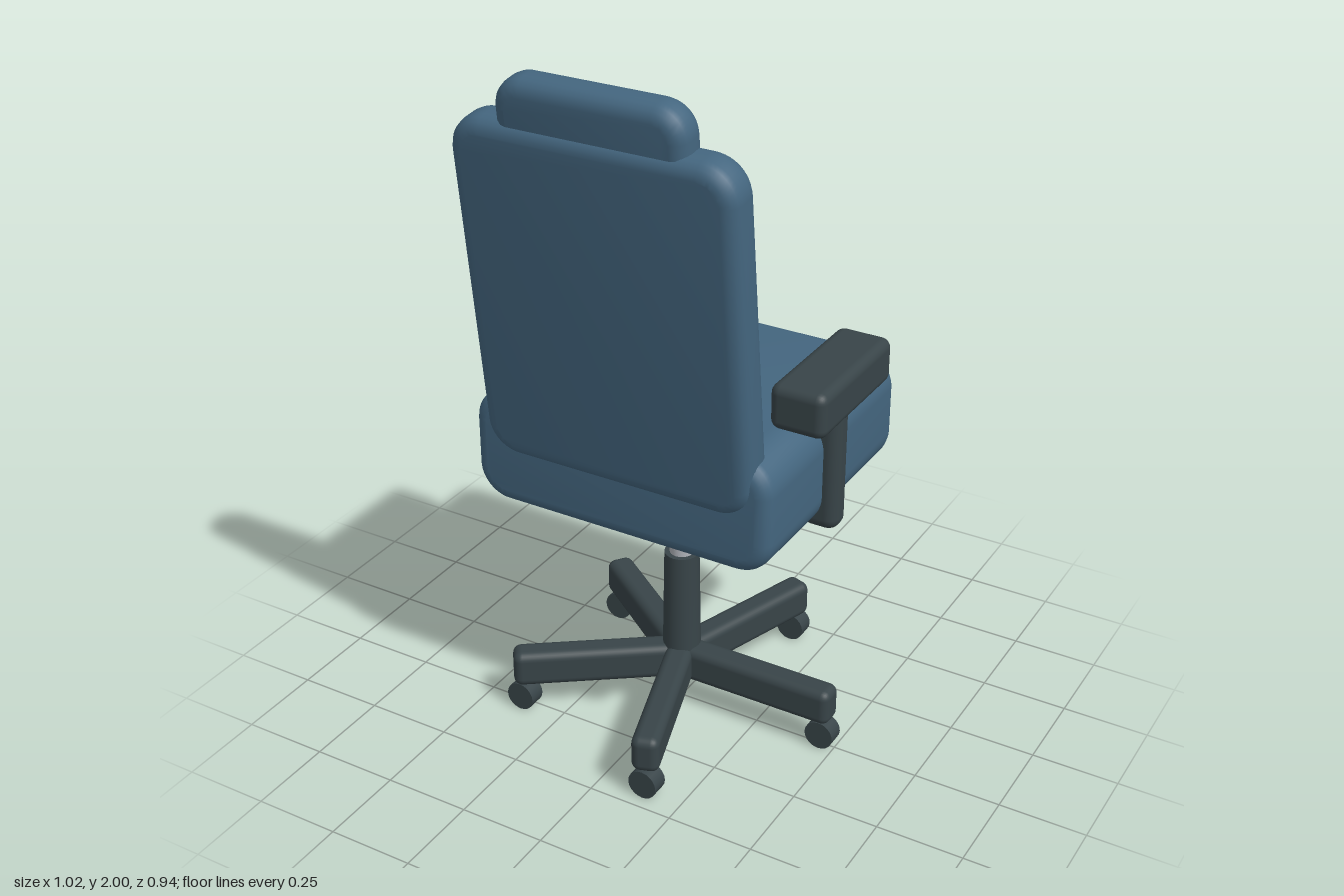
import * as THREE from 'three';
import { RoundedBoxGeometry } from 'three/addons/geometries/RoundedBoxGeometry.js';
import { toCreasedNormals } from 'three/addons/utils/BufferGeometryUtils.js';

export function createModel() {
  const chair = new THREE.Group();
  chair.name = 'officeChair';

  const material = (name, color) => {
    const m = new THREE.MeshStandardMaterial({ color });
    m.name = name;
    return m;
  };
  const fabric = material('blueFabric', 0x44667f);
  const plastic = material('darkPlastic', 0x384448);
  const steel = material('steel', 0xb0b4ba);

  const add = (name, geometry, mat, x, y, z, parent = chair) => {
    const mesh = new THREE.Mesh(geometry, mat);
    mesh.name = name;
    mesh.position.set(x, y, z);
    parent.add(mesh);
    return mesh;
  };
  const box = (w, h, d, r) => new RoundedBoxGeometry(w, h, d, 3, r);

  // Cushion: a rounded rectangle extruded along z with a soft bevel
  const cushion = (w, h, d, radius, bevel) => {
    const a = w / 2 - bevel, b = h / 2 - bevel, r = radius - bevel;
    const s = new THREE.Shape();
    s.moveTo(-a + r, -b);
    s.lineTo(a - r, -b);
    s.absarc(a - r, -b + r, r, -Math.PI / 2, 0);
    s.lineTo(a, b - r);
    s.absarc(a - r, b - r, r, 0, Math.PI / 2);
    s.lineTo(-a + r, b);
    s.absarc(-a + r, b - r, r, Math.PI / 2, Math.PI);
    s.lineTo(-a, -b + r);
    s.absarc(-a + r, -b + r, r, Math.PI, Math.PI * 1.5);
    const g = new THREE.ExtrudeGeometry(s, {
      depth: d - 2 * bevel, bevelEnabled: true, bevelSize: bevel,
      bevelThickness: bevel, bevelSegments: 4, curveSegments: 6,
    });
    g.center();
    return toCreasedNormals(g, 0.7);
  };

  // Upholstery; the backrest and headrest lean towards +z
  const lean = 0.117;
  add('seat', cushion(0.9, 0.335, 0.755, 0.1, 0.04), fabric, 0, 0.897, -0.033);
  add('backrest', cushion(0.805, 1.0, 0.118, 0.1, 0.04), fabric, 0, 1.387, 0.35).rotation.x = lean;
  add('headrest', cushion(0.535, 0.4, 0.106, 0.085, 0.04), fabric, 0, 1.8, 0.39).rotation.x = lean;

  // Armrests
  for (const side of [1, -1]) {
    const arm = new THREE.Group();
    arm.name = side > 0 ? 'leftArmrest' : 'rightArmrest';
    chair.add(arm);
    add('armPad', box(0.16, 0.13, 0.41, 0.028), plastic, side * 0.43, 1.135, -0.035, arm);
    add('armUpright', box(0.115, 0.38, 0.08, 0.035), plastic, side * 0.4335, 0.915, 0, arm);
  }

  // Seat mount, gas lift and column
  add('seatMount', box(0.435, 0.09, 0.38, 0.03), plastic, 0, 0.74, 0);
  add('gasLift', new THREE.CylinderGeometry(0.035, 0.035, 0.3, 24), steel, 0, 0.58, 0);
  const profile = [[0, 0.12], [0.06, 0.12], [0.055, 0.2], [0.05, 0.5], [0, 0.5]]
    .map(([r, y]) => new THREE.Vector2(r, y));
  add('column', toCreasedNormals(new THREE.LatheGeometry(profile, 24), 0.7), plastic, 0, 0, 0);

  // Five-legged base, with every castor rolling about z
  const legGeometry = box(0.49, 0.11, 0.08, 0.025);
  legGeometry.translate(0.245, 0, 0);
  const wheelGeometry = new THREE.CylinderGeometry(0.043, 0.043, 0.052, 20);
  wheelGeometry.rotateX(Math.PI / 2);
  for (let i = 0; i < 5; i++) {
    const angle = (i * Math.PI * 2) / 5;
    add('baseLeg', legGeometry, plastic, 0, 0.141, 0).rotation.y = -angle;
    add('castor', wheelGeometry, plastic, 0.46 * Math.cos(angle), 0.043, 0.46 * Math.sin(angle));
  }

  return chair;
}
